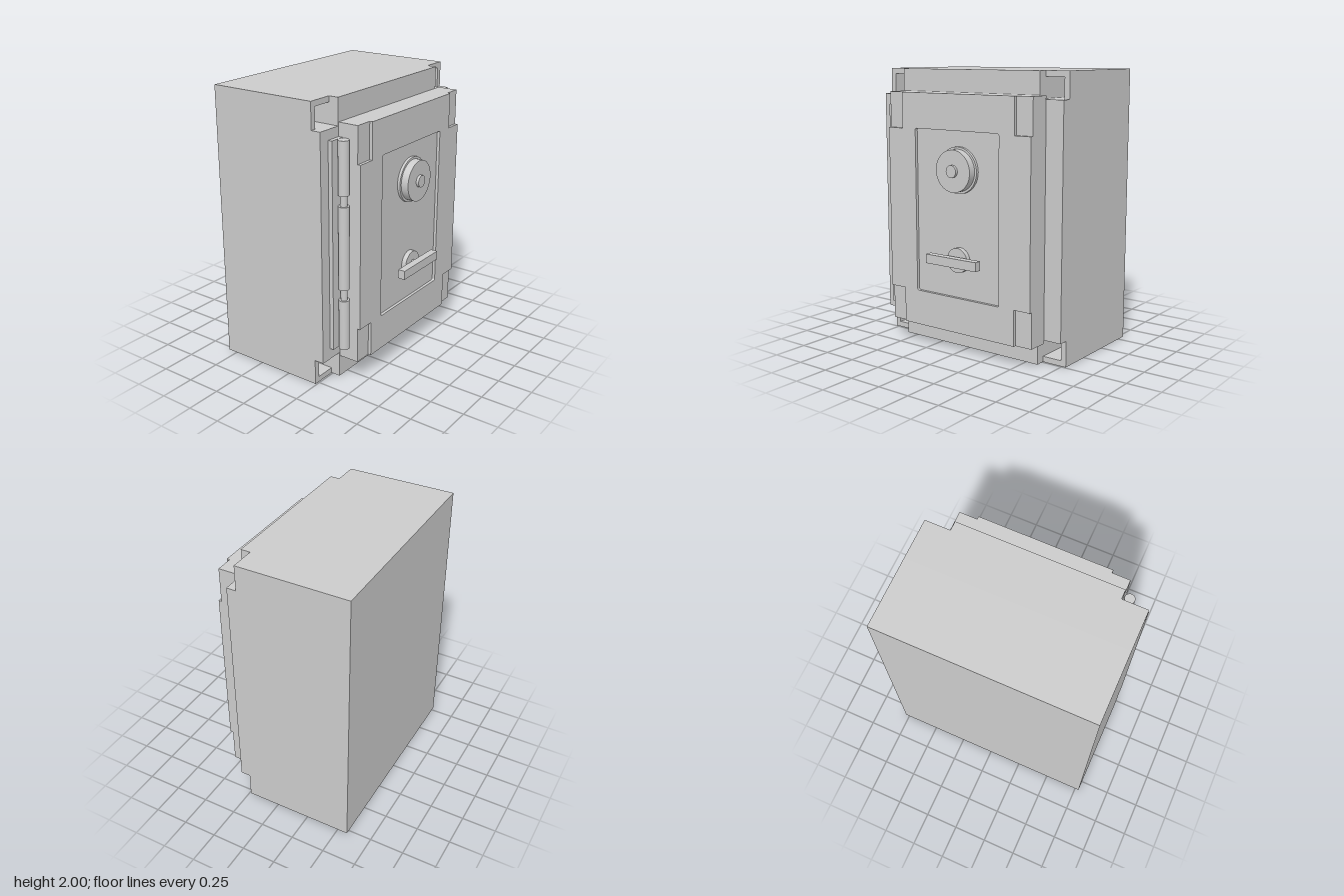
import * as THREE from 'three';

const mat = new THREE.MeshStandardMaterial({ color: 0xcccccc });

function add(group, name, geometry) {
  const mesh = new THREE.Mesh(geometry, mat);
  mesh.name = name;
  group.add(mesh);
  return mesh;
}

// Box given by its limits on each axis
function box(x0, x1, y0, y1, z0, z1) {
  return new THREE.BoxGeometry(x1 - x0, y1 - y0, z1 - z0)
    .translate((x0 + x1) / 2, (y0 + y1) / 2, (z0 + z1) / 2);
}

// Disc or rod lying along x
function rod(r, x0, x1, y, z, sides = 40) {
  return new THREE.CylinderGeometry(r, r, x1 - x0, sides)
    .rotateZ(-Math.PI / 2).translate((x0 + x1) / 2, y, z);
}

// Outline in (-z, y), extruded along x
function slab(shape, x0, x1) {
  return new THREE.ExtrudeGeometry(shape, { depth: x1 - x0, bevelEnabled: false, curveSegments: 4 })
    .rotateY(Math.PI / 2).translate(x0, 0, 0);
}

function rect(u0, u1, v0, v1) {
  return [[u0, v0], [u1, v0], [u1, v1], [u0, v1]].map(p => new THREE.Vector2(...p));
}

// Rectangle with its four corners cut away
function notched(u0, u1, v0, v1, a, b) {
  return new THREE.Shape([
    [u0 + a, v0], [u1 - a, v0], [u1 - a, v0 + b], [u1, v0 + b], [u1, v1 - b], [u1 - a, v1 - b],
    [u1 - a, v1], [u0 + a, v1], [u0 + a, v1 - b], [u0, v1 - b], [u0, v0 + b], [u0 + a, v0 + b],
  ].map(p => new THREE.Vector2(...p)));
}

function roundedHole(u0, u1, v0, v1, r) {
  const p = new THREE.Path();
  p.absarc(u1 - r, v1 - r, r, 0, Math.PI / 2);
  p.absarc(u0 + r, v1 - r, r, Math.PI / 2, Math.PI);
  p.absarc(u0 + r, v0 + r, r, Math.PI, Math.PI * 1.5);
  p.absarc(u1 - r, v0 + r, r, Math.PI * 1.5, Math.PI * 2);
  p.closePath();
  return p;
}

export function createModel() {
  const safe = new THREE.Group();
  safe.name = 'safe';

  // Cabinet: solid back, a section with four corner pockets, and the front frame
  const cabinet = new THREE.Group();
  cabinet.name = 'cabinet';
  safe.add(cabinet);
  add(cabinet, 'cabinetBack', box(-0.575, -0.06, 0, 2, -0.78, 0.78));
  const section = new THREE.Shape(rect(-0.78, 0.78, 0, 2));
  for (const [u0, u1] of [[-0.74, -0.595], [0.595, 0.74]]) {
    for (const [v0, v1] of [[0.04, 0.185], [1.815, 1.96]]) {
      section.holes.push(new THREE.Path(rect(u0, u1, v0, v1)));
    }
  }
  add(cabinet, 'cabinetSection', slab(section, -0.06, 0.24));
  add(cabinet, 'frontFrame', slab(notched(-0.78, 0.78, 0, 2, 0.185, 0.185), 0.24, 0.31));

  // Door: thick slab with a notched face and a sunken panel
  const door = new THREE.Group();
  door.name = 'door';
  safe.add(door);
  add(door, 'doorSlab', box(0.31, 0.46, 0.16, 1.84, -0.645, 0.59));
  const face = notched(-0.59, 0.645, 0.16, 1.84, 0.13, 0.255);
  face.holes.push(roundedHole(-0.34, 0.39, 0.415, 1.59, 0.012));
  add(door, 'doorFace', slab(face, 0.46, 0.482));

  // Combination dial
  const dial = new THREE.Group();
  dial.name = 'dial';
  door.add(dial);
  add(dial, 'dialRing', rod(0.163, 0.46, 0.48, 1.32, -0.04));
  add(dial, 'dialDisc', rod(0.147, 0.48, 0.535, 1.32, -0.04));
  add(dial, 'dialKnob', rod(0.043, 0.535, 0.555, 1.32, -0.04));

  // Handle
  const handle = new THREE.Group();
  handle.name = 'handle';
  door.add(handle);
  add(handle, 'handleDisc', rod(0.088, 0.46, 0.495, 0.69, -0.04));
  add(handle, 'handleStem', rod(0.025, 0.495, 0.52, 0.69, -0.04, 24));
  add(handle, 'handleBar', box(0.517, 0.57, 0.657, 0.722, -0.26, 0.18));

  // Hinge: plate, pin and three barrels
  const hinge = new THREE.Group();
  hinge.name = 'hinge';
  safe.add(hinge);
  add(hinge, 'hingePlate', box(0.31, 0.34, 0.265, 1.745, 0.59, 0.7));
  const upright = (name, r, y0, y1) =>
    add(hinge, name, new THREE.CylinderGeometry(r, r, y1 - y0, 32).translate(0.378, (y0 + y1) / 2, 0.629));
  upright('hingePin', 0.023, 0.3, 1.7);
  for (const [y0, y1] of [[0.265, 0.63], [0.71, 1.3], [1.375, 1.745]]) upright('hingeBarrel', 0.037, y0, y1);

  return safe;
}
